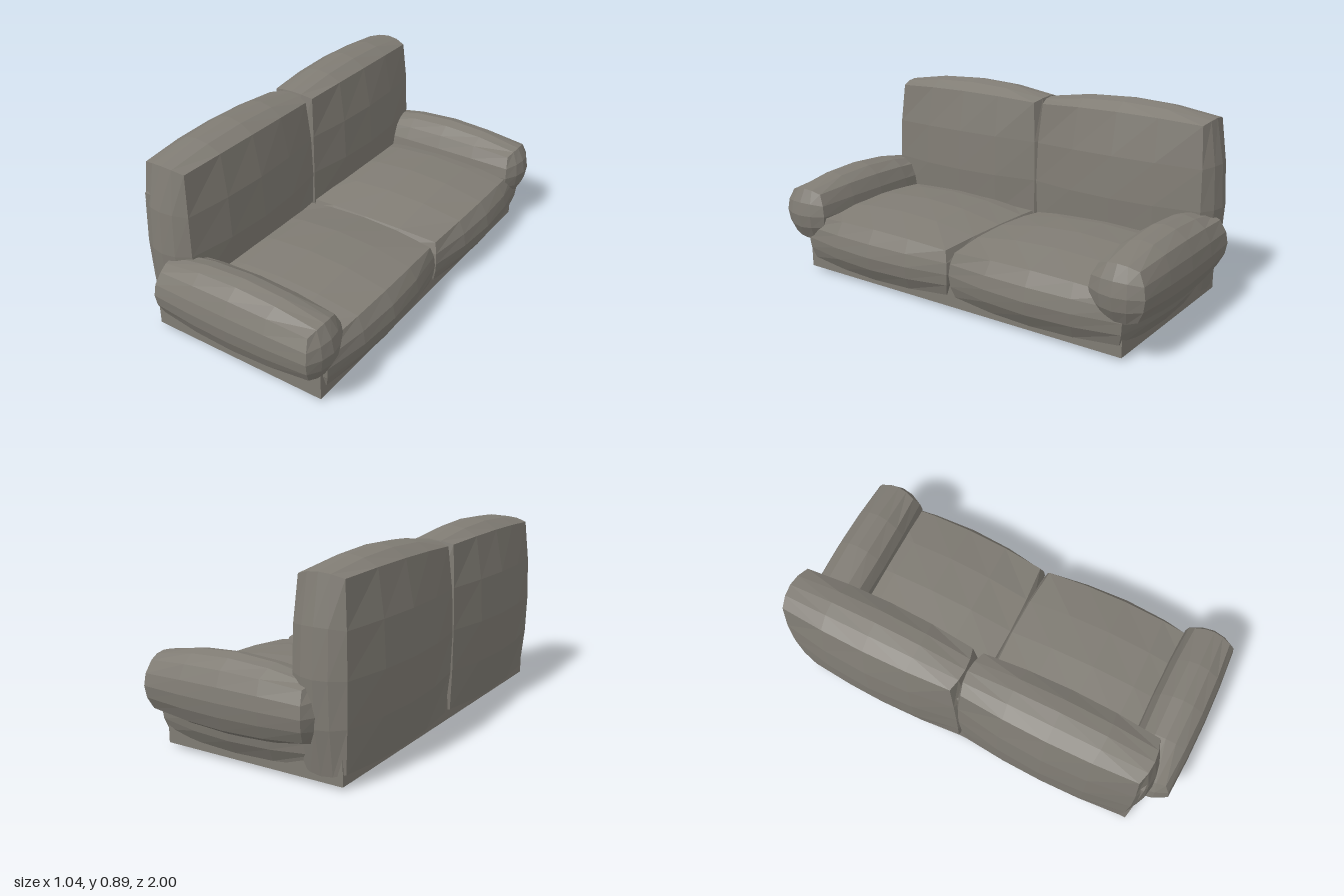
import * as THREE from 'three';

const fabric = new THREE.MeshStandardMaterial({ color: 0x807c74, flatShading: true });
fabric.name = 'grey fabric';

// Stuffed block: half sizes at the corner, plus how far each face swells.
// swell[axis] = [along first other axis, along second other axis, both together]
function stuffedBlock(half, swell) {
  const geo = new THREE.BoxGeometry(2, 2, 2, 4, 4, 4);
  const pos = geo.attributes.position;
  for (let i = 0; i < pos.count; i++) {
    const p = [pos.getX(i), pos.getY(i), pos.getZ(i)];
    const q = p.map((v, k) => {
      const a = 1 - p[(k + 1) % 3] ** 2;
      const b = 1 - p[(k + 2) % 3] ** 2;
      const [sa, sb, sab] = swell[k];
      return v * (half[k] + sa * a + sb * b + sab * a * b);
    });
    pos.setXYZ(i, ...q);
  }
  geo.computeVertexNormals();
  return geo;
}

export function createModel() {
  const sofa = new THREE.Group();
  sofa.name = 'sofa';

  function add(name, geo, x, y, z) {
    const mesh = new THREE.Mesh(geo, fabric);
    mesh.name = name;
    mesh.position.set(x, y, z);
    sofa.add(mesh);
  }

  // Plinth and the panel hidden inside the backrest
  add('base', new THREE.BoxGeometry(0.885, 0.18, 1.735), 0.0025, 0.108, -0.0125);
  add('backPanel', new THREE.BoxGeometry(0.14, 0.68, 1.735), -0.37, 0.358, -0.0125);

  // Two seat and two back cushions
  const soft = [0.02, 0.02, 0.03];
  const backGeo = stuffedBlock([0.105, 0.38, 0.41], [soft, [0.015, 0.02, 0.03], soft]);
  const seatGeo = stuffedBlock([0.375, 0.105, 0.41], [soft, soft, soft]);
  for (const [side, z] of [['left', -0.46], ['right', 0.41]]) {
    add(side + 'BackCushion', backGeo, -0.345, 0.447, z);
    add(side + 'SeatCushion', seatGeo, 0.075, 0.177, z);
  }

  // Plump arm bolsters
  const armGeo = stuffedBlock([0.38, 0.105, 0.09],
    [[0.015, 0.015, 0.03], [0.02, 0.02, 0.03], [0.015, 0.035, 0]]);
  add('leftArm', armGeo, 0.075, 0.297, -0.86);
  add('rightArm', armGeo, 0.075, 0.297, 0.857);

  return sofa;
}
